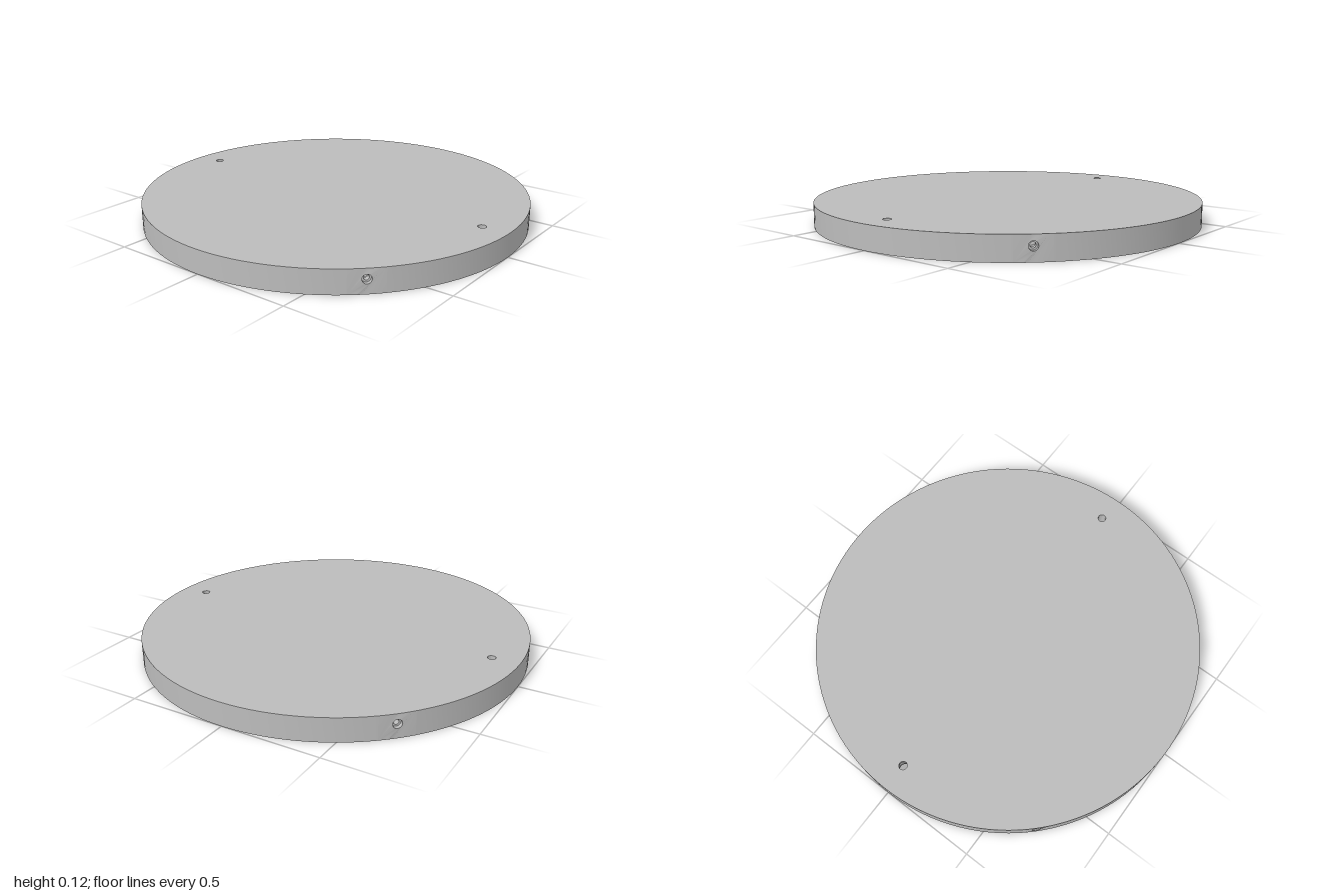
import * as THREE from 'three';
import { toCreasedNormals } from 'three/addons/utils/BufferGeometryUtils.js';

const H = 0.12, FLOOR = 0.095, GAP = 0.085; // height, underside of the top, half angle of each screw block

function circlePath(x, y, r) {
  const p = new THREE.Path();
  p.absarc(x, y, r, 0, Math.PI * 2, true);
  return p;
}

function extrude(shape, depth, curveSegments = 24) {
  return new THREE.ExtrudeGeometry(shape, { depth, bevelEnabled: false, curveSegments });
}

// Lays a shape flat (shape y becomes z) with its upper face at the given height
function flat(shape, depth, top, segments) {
  return extrude(shape, depth, segments).rotateX(Math.PI / 2).translate(0, top, 0);
}

function ring(outer, inner, x = 0, y = 0) {
  const s = new THREE.Shape();
  s.absarc(x, y, outer, 0, Math.PI * 2, false);
  s.holes.push(circlePath(x, y, inner));
  return s;
}

export function createModel() {
  const model = new THREE.Group();
  const grey = new THREE.MeshStandardMaterial({ color: 0xbcbcbc });
  grey.name = 'grey';
  const add = (parent, name, geometry) => {
    const mesh = new THREE.Mesh(toCreasedNormals(geometry, 0.6), grey);
    mesh.name = name;
    parent.add(mesh);
    return mesh;
  };

  // Top plate with two through holes
  const disc = new THREE.Shape();
  disc.absarc(0, 0, 0.932, 0, Math.PI * 2, false);
  for (const side of [-1, 1]) disc.holes.push(circlePath(side * 0.86, 0, 0.021));
  add(model, 'topPlate', flat(disc, H - FLOOR, H, 64));

  // Rim profile: rounded inside corner, thin lip, straight outside
  const rim = [[0.885, FLOOR], [0.91, 0.092], [0.932, 0.084], [0.95, 0.07], [0.963, 0.05],
    [0.972, 0.025], [0.98, 0], [1, 0], [1, H], [0.93, H]].map(([r, y]) => new THREE.Vector2(r, y));

  // Screw block outline, to be bent around the rim
  const block = new THREE.Shape();
  const steps = 8;
  for (let i = 0; i <= steps; i++) {
    const s = -GAP + (2 * GAP * i) / steps;
    if (i === 0) block.moveTo(s, 0); else block.lineTo(s, 0);
  }
  for (let i = steps; i >= 0; i--) block.lineTo(-GAP + (2 * GAP * i) / steps, H);
  block.holes.push(circlePath(0, 0.07, 0.022));

  // Rib side outline: tall at the rim, tapering to the plate
  const rib = new THREE.Shape();
  rib.moveTo(0, 0.1);
  rib.lineTo(0, 0);
  rib.lineTo(0.04, 0);
  rib.lineTo(0.355, 0.09);
  rib.lineTo(0.36, 0.1);

  for (let k = 0; k < 4; k++) {
    const angle = Math.PI / 4 + (k * Math.PI) / 2;
    add(model, 'rimSection', new THREE.LatheGeometry(rim, 28, angle + GAP, Math.PI / 2 - 2 * GAP));

    const mount = new THREE.Group();
    mount.name = 'screwMount';
    mount.rotation.y = angle;
    model.add(mount);

    const bent = extrude(block, 0.075);
    const pos = bent.attributes.position;
    for (let i = 0; i < pos.count; i++) {
      const a = pos.getX(i), r = 0.925 + pos.getZ(i);
      pos.setXYZ(i, r * Math.sin(a), pos.getY(i), r * Math.cos(a));
    }
    add(mount, 'screwBlock', bent);
    add(mount, 'screwSleeve', extrude(ring(0.0225, 0.013), 0.03).translate(0, 0.07, 0.95));

    // Pair of spreading ribs
    for (const side of [-1, 1]) {
      const dx = side * 0.09, dz = -0.35;
      const mesh = add(mount, 'rib', extrude(rib, 0.024).translate(0, 0, -0.012));
      mesh.position.set(side * 0.06, 0, 0.955);
      mesh.rotation.y = Math.atan2(-dz, dx);
    }
  }

  // Pads and hollow bosses under the two top holes
  const pad = new THREE.Shape();
  pad.moveTo(0.12, 0.95);
  pad.lineTo(-0.12, 0.95);
  pad.lineTo(-0.06, 0.86);
  pad.absarc(0, 0.86, 0.06, Math.PI, Math.PI * 2, false);
  pad.holes.push(circlePath(0, 0.86, 0.024));
  for (const side of [-1, 1]) {
    const mount = new THREE.Group();
    mount.name = 'holeMount';
    mount.rotation.y = (side * Math.PI) / 2;
    model.add(mount);
    add(mount, 'pad', flat(pad, 0.05, 0.1));
    add(mount, 'boss', flat(ring(0.046, 0.028, 0, 0.86), 0.035, 0.055));
  }

  return model;
}
